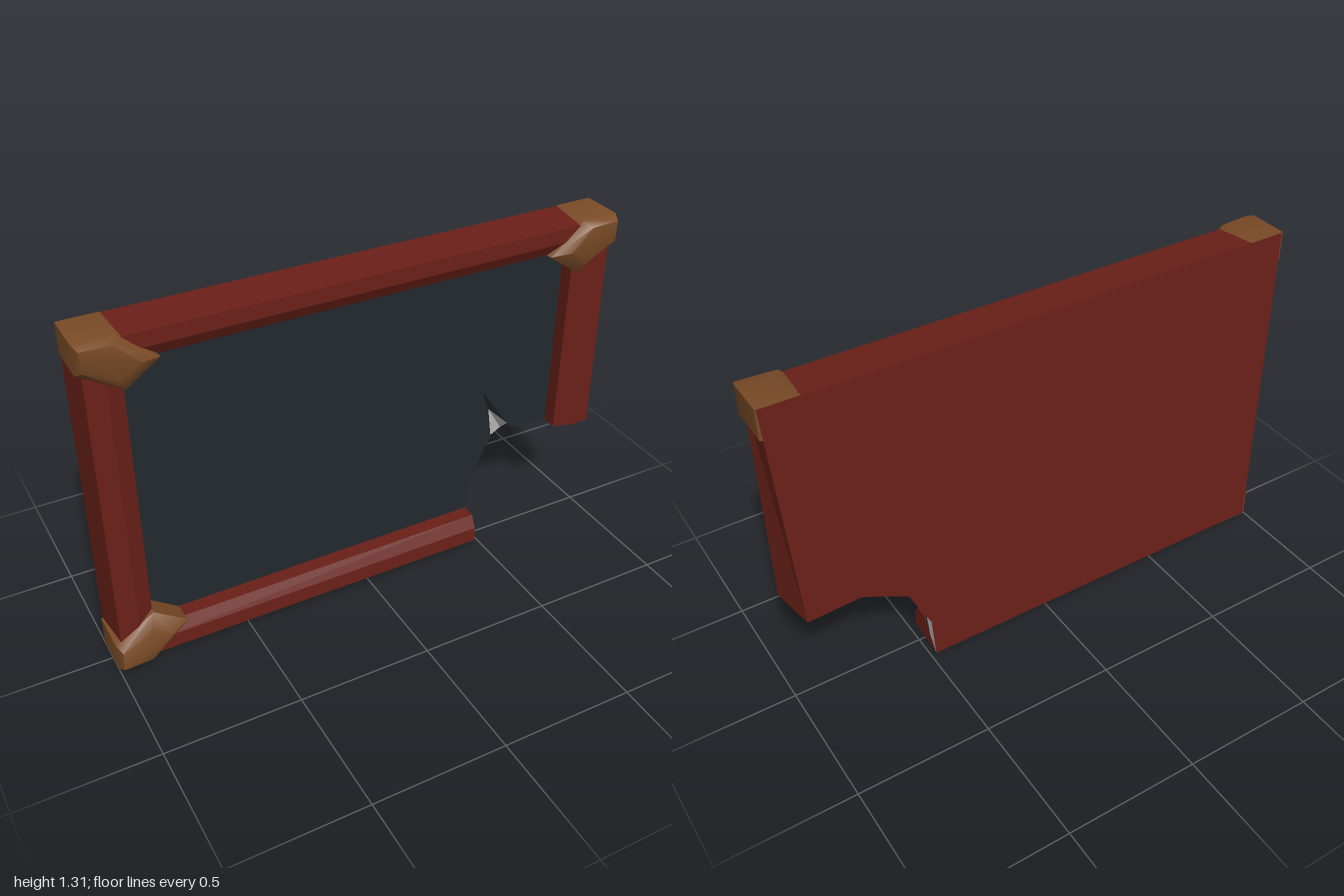
import * as THREE from 'three';
import { ConvexGeometry } from 'three/addons/geometries/ConvexGeometry.js';
import { toCreasedNormals } from 'three/addons/utils/BufferGeometryUtils.js';

const BACK = -0.095, BOARD = -0.015, MID = -0.05;
const material = (color) =>
  new THREE.MeshStandardMaterial({ color, flatShading: true, side: THREE.DoubleSide });

// Skin equal-length rows of [x, y, z]; closed rows wrap round and get end caps.
function skin(rows, closed) {
  const n = rows[0].length, index = [];
  for (let j = 0; j < rows.length - 1; j++) {
    for (let i = 0; i < (closed ? n : n - 1); i++) {
      const k = (i + 1) % n;
      const a = j * n + i, b = j * n + k, c = b + n, d = a + n;
      index.push(a, d, c, a, c, b);
    }
  }
  if (closed) {
    const e = (rows.length - 1) * n;
    for (let i = 1; i < n - 1; i++) index.push(0, i, i + 1, e, e + i + 1, e + i);
  }
  const g = new THREE.BufferGeometry();
  g.setAttribute('position', new THREE.Float32BufferAttribute(rows.flat(2), 3));
  g.setIndex(index);
  const flat = g.toNonIndexed();
  flat.computeVertexNormals();
  return flat;
}

// Flat sheet at depth z, facing the front or the back.
function sheet(points, z, facesBack) {
  const g = new THREE.ShapeGeometry(new THREE.Shape(points.map(([x, y]) => new THREE.Vector2(x, y))));
  if (facesBack) {
    const idx = g.index.array;
    for (let i = 0; i < idx.length; i += 3) [idx[i], idx[i + 1]] = [idx[i + 1], idx[i]];
    g.computeVertexNormals();
  }
  return g.translate(0, 0, z);
}

export function createModel() {
  const group = new THREE.Group();
  const red = material(0x6a2018), slate = material(0x23292d), grey = material(0xcccccc);
  const brass = new THREE.MeshStandardMaterial({ color: 0x7a4b26 });
  const add = (name, geometry, mat) => {
    const mesh = new THREE.Mesh(geometry, mat);
    mesh.name = name;
    group.add(mesh);
  };

  // Broken edge, from the bottom rail round to the right rail, at three depths
  const frontEdge = [[0.475, 0.125], [0.485, 0.2], [0.545, 0.37], [0.58, 0.43],
    [0.53, 0.65], [0.67, 0.45], [0.74, 0.44], [0.835, 0.435]];
  const midEdge = [[0.478, 0.06], [0.488, 0.18], [0.56, 0.355], [0.59, 0.405],
    [0.585, 0.54], [0.68, 0.445], [0.745, 0.433], [0.89, 0.427]];
  const backEdge = [[0.48, 0.003], [0.49, 0.17], [0.57, 0.34], [0.6, 0.357],
    [0.625, 0.37], [0.68, 0.4], [0.745, 0.43], [0.945, 0.42]];
  const at = (points, z) => points.map(([x, y]) => [x, y, z]);
  add('brokenSlateEdge', skin([at(frontEdge, BOARD), at(midEdge, MID)], false), slate);
  add('brokenCoreEdge', skin([at(midEdge, MID), at(backEdge, BACK)], false), grey);

  // Writing surface and back panel
  add('writingSurface', sheet([[-0.85, 0.12], ...frontEdge, [0.845, 1.195], [-0.85, 1.195]], BOARD, false), slate);
  add('backPanel', sheet([[-0.995, 0.003], ...backEdge, [0.995, 1.305], [-0.995, 1.305]], BACK, true), red);

  // Frame: one profile (fraction of width, z) swept from the right stub to the bottom stub
  const profile = [[0, BACK], [0.1, 0.065], [0.6, 0.065], [1, 0.04], [1, BOARD]];
  const stations = [
    { x: 0.995, y: 0.435, dx: -0.16, dy: 0 },
    { x: 0.995, y: 1.305, dx: -0.15, dy: -0.11 },
    { x: -0.995, y: 1.305, dx: 0.145, dy: -0.11 },
    { x: -0.995, y: 0.003, dx: 0.145, dy: 0.115 },
    { x: 0.478, y: 0.003, dx: 0, dy: 0.122 },
  ];
  const rows = stations.map((s) => profile.map(([d, z]) => [s.x + s.dx * d, s.y + s.dy * d, z]));
  rows[0][0] = [0.945, 0.42, BACK]; // the stub is splintered inward at the back
  add('frame', skin(rows, true), red);

  // Corner guards on the three surviving corners
  const base = [[0, 0], [0.14, 0], [0.27, 0.115], [0.15, 0.2], [0, 0.11]];
  const crown = [[0.012, 0.015], [0.12, 0.02], [0.2, 0.1], [0.13, 0.145], [0.015, 0.09]];
  const layers = [[base, BACK + 0.001], [base, 0.062], [crown, 0.095]];
  for (const [name, sx, top] of [['topLeftGuard', 1, true], ['topRightGuard', -1, true], ['bottomRightGuard', -1, false]]) {
    const points = layers.flatMap(([outline, z]) => outline.map(([u, v]) =>
      new THREE.Vector3(sx * (1 - u), top ? 1.308 - v : v, z)));
    add(name, toCreasedNormals(new ConvexGeometry(points), 0.85), brass);
  }
  return group;
}
